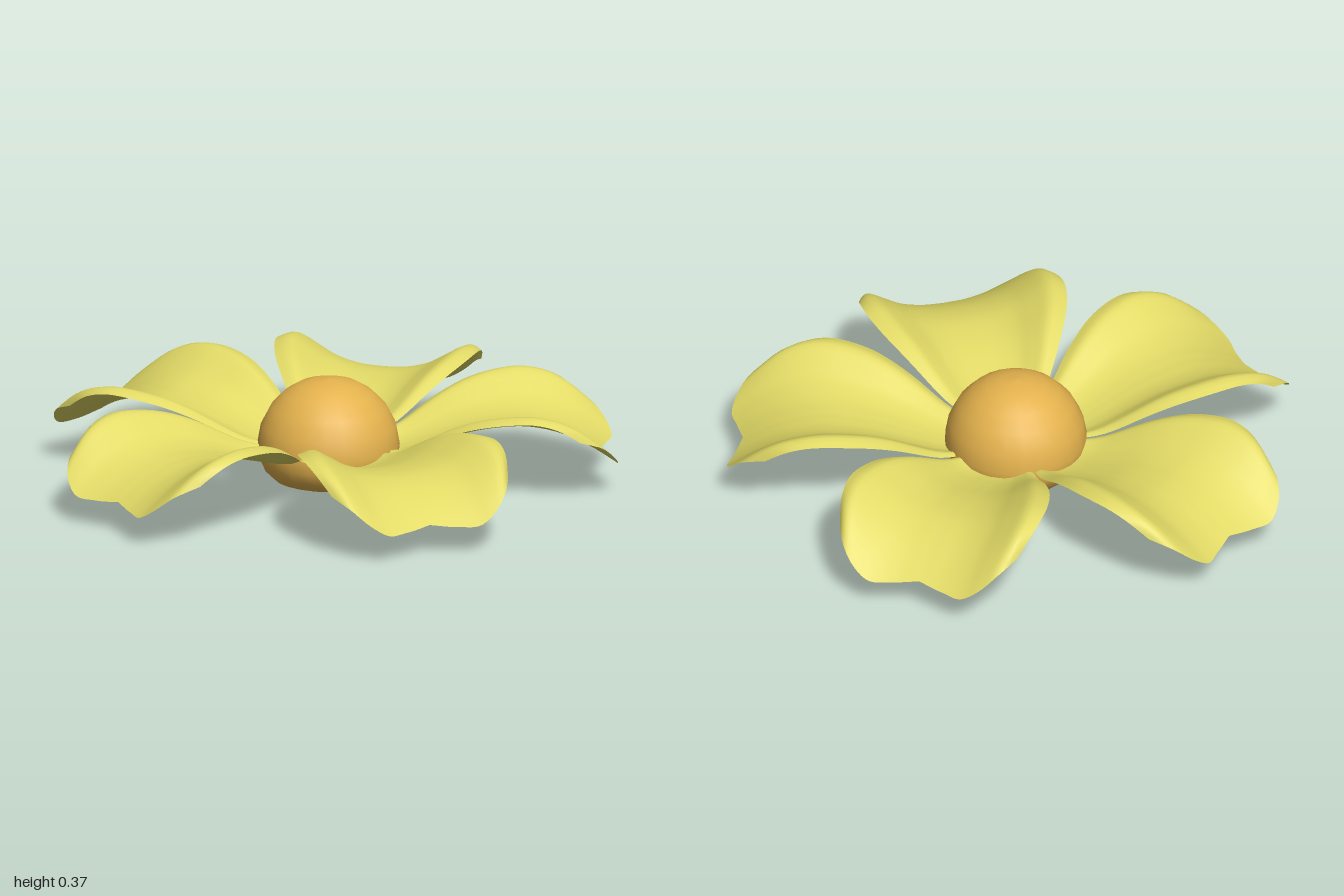
import * as THREE from 'three';

const petalYellow = new THREE.MeshStandardMaterial({ color: 0xe2da66, side: THREE.DoubleSide });
petalYellow.name = 'petalYellow';
const centreOrange = new THREE.MeshStandardMaterial({ color: 0xe4b24d });
centreOrange.name = 'centreOrange';

// smooth curve through [position, value] pairs
function profile(pairs) {
  const n = pairs.length;
  const slope = (i) => {
    const a = pairs[Math.max(i - 1, 0)], b = pairs[Math.min(i + 1, n - 1)];
    return (b[1] - a[1]) / (b[0] - a[0]);
  };
  return (x) => {
    let i = 0;
    while (i < n - 2 && x > pairs[i + 1][0]) i++;
    const [x0, y0] = pairs[i], [x1, y1] = pairs[i + 1], h = x1 - x0;
    const t = Math.min(Math.max((x - x0) / h, 0), 1), t2 = t * t, t3 = t2 * t;
    return (2 * t3 - 3 * t2 + 1) * y0 + (t3 - 2 * t2 + t) * h * slope(i)
      + (3 * t2 - 2 * t3) * y1 + (t3 - t2) * h * slope(i + 1);
  };
}

// petal rules: half width, notched tip, ridge height, raised rim and its rolled-over edge
const BASE = 0.17, SHOULDER = 0.85;
const halfWidth = profile([[0.17, 0.12], [0.25, 0.175], [0.36, 0.243], [0.5, 0.314], [0.6, 0.346],
  [0.68, 0.357], [0.77, 0.351], [0.85, 0.328]]);
const tipRadius = profile([[0, 0.943], [0.3, 0.969], [0.53, 0.99], [0.75, 0.966], [0.9, 0.917], [1, 0.85]]);
const midHeight = profile([[0.17, 0.112], [0.25, 0.123], [0.36, 0.155], [0.5, 0.196], [0.62, 0.213],
  [0.7, 0.211], [0.8, 0.186], [0.9, 0.138], [0.99, 0.08]]);
const rimLift = profile([[0.17, 0.03], [0.25, 0.042], [0.4, 0.084], [0.6, 0.1], [0.75, 0.098], [0.85, 0.07]]);
const crossRise = profile([[0, 0], [0.25, 0.06], [0.5, 0.3], [0.7, 0.69], [0.87, 1], [1, 0.85]]);

function petalGeometry() {
  const rows = 24, cols = 40, pos = [], index = [];
  for (let i = 0; i <= rows; i++) {
    const s = i / rows;
    const side = BASE + (SHOULDER - BASE) * s;
    for (let j = 0; j <= cols; j++) {
      const u = (j / cols) * 2 - 1, a = Math.abs(u);
      const r = BASE + (tipRadius(a) - BASE) * s;
      pos.push(r, midHeight(r) + rimLift(side) * crossRise(a), u * halfWidth(side));
      if (i < rows && j < cols) {
        const p = i * (cols + 1) + j, q = p + cols + 1;
        index.push(p, p + 1, q, q, p + 1, q + 1);
      }
    }
  }
  const g = new THREE.BufferGeometry();
  g.setAttribute('position', new THREE.Float32BufferAttribute(pos, 3));
  g.setIndex(index);
  g.computeVertexNormals();
  return g;
}

export function createModel() {
  const flower = new THREE.Group();
  flower.name = 'flower';
  flower.position.x = 0.032;

  // domed centre with a rounded, flattened underside
  const outline = [[0, 0.003], [0.08, 0.004], [0.14, 0.008], [0.19, 0.024], [0.222, 0.055], [0.24, 0.095],
    [0.246, 0.145], [0.234, 0.212], [0.201, 0.276], [0.154, 0.325], [0.103, 0.356], [0.051, 0.371], [0, 0.376]];
  const centre = new THREE.Mesh(
    new THREE.LatheGeometry(outline.map(([x, y]) => new THREE.Vector2(x, y)), 24), centreOrange);
  centre.name = 'flowerCentre';
  flower.add(centre);

  // five petals around the centre
  const geometry = petalGeometry();
  for (let i = 0; i < 5; i++) {
    const petal = new THREE.Mesh(geometry, petalYellow);
    petal.name = `petal${i + 1}`;
    petal.rotation.y = Math.PI + (i * Math.PI * 2) / 5;
    flower.add(petal);
  }

  const model = new THREE.Group();
  model.name = 'flowerModel';
  model.add(flower);
  return model;
}
